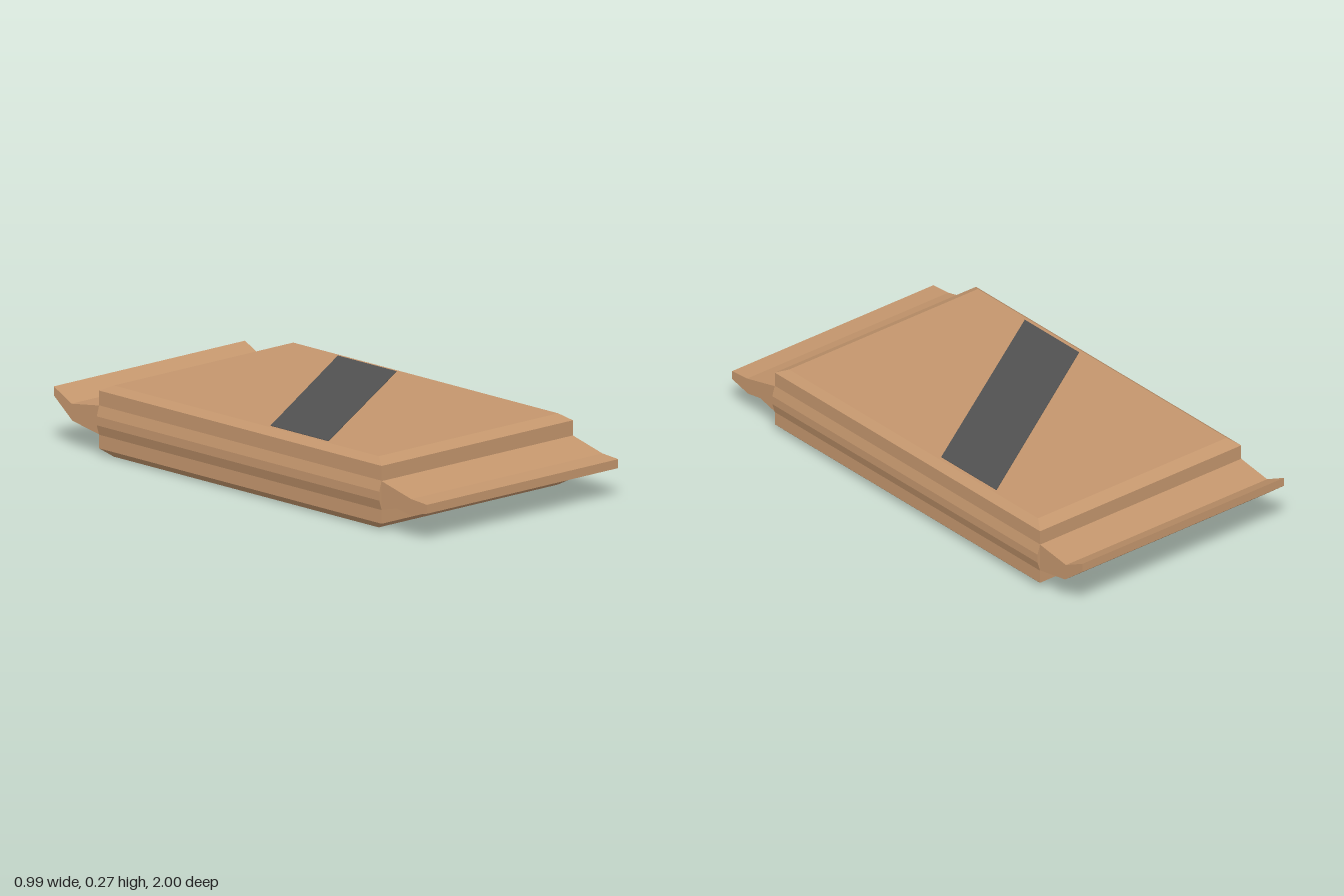
import * as THREE from 'three';

const wrapper = new THREE.MeshStandardMaterial({ color: 0xc4966d });
wrapper.name = 'tan wrapper';
const dark = new THREE.MeshStandardMaterial({ color: 0x525252 });
dark.name = 'charcoal stripe';

// Flat-shaded loft through rectangular levels [y, half width, half depth]
function loftRectangles(levels) {
  const positions = [];
  const corner = ([y, hx, hz], i) => {
    const [sx, sz] = [[-1, 1], [1, 1], [1, -1], [-1, -1]][i % 4];
    return [sx * hx, y, sz * hz];
  };
  const quad = (a, b, c, d) => positions.push(...a, ...b, ...c, ...a, ...c, ...d);
  for (let l = 0; l < levels.length - 1; l++) {
    for (let i = 0; i < 4; i++) {
      quad(corner(levels[l], i), corner(levels[l], i + 1),
        corner(levels[l + 1], i + 1), corner(levels[l + 1], i));
    }
  }
  const bottom = levels[0], top = levels[levels.length - 1];
  quad(...[3, 2, 1, 0].map((i) => corner(bottom, i)));
  quad(...[0, 1, 2, 3].map((i) => corner(top, i)));
  const geometry = new THREE.BufferGeometry();
  geometry.setAttribute('position', new THREE.Float32BufferAttribute(positions, 3));
  geometry.computeVertexNormals();
  return geometry;
}

// Crimped end: a [z, y] profile swept across the width
function crimpedEnd(profile, width) {
  const shape = new THREE.Shape(profile.map(([z, y]) => new THREE.Vector2(-z, y)));
  const geometry = new THREE.ExtrudeGeometry(shape, { depth: width, bevelEnabled: false });
  geometry.translate(0, 0, -width / 2);
  geometry.rotateY(Math.PI / 2);
  return geometry;
}

export function createModel() {
  const group = new THREE.Group();
  group.name = 'wrappedPack';
  const add = (name, geometry, material) => {
    const mesh = new THREE.Mesh(geometry, material);
    mesh.name = name;
    group.add(mesh);
    return mesh;
  };

  // Body with chamfered faces and a shallow bulge along the long sides
  add('body', loftRectangles([
    [0, 0.455, 0.71], [0.028, 0.485, 0.757], [0.08, 0.485, 0.757],
    [0.118, 0.497, 0.757], [0.152, 0.497, 0.757], [0.192, 0.485, 0.757],
    [0.248, 0.485, 0.757], [0.271, 0.455, 0.71],
  ]), wrapper);

  // Bent end flaps
  add('frontFlap', crimpedEnd([
    [0.75, 0.192], [0.915, 0.152], [1, 0.146], [1, 0.112],
    [0.91, 0.09], [0.84, 0.102], [0.75, 0.08],
  ], 0.97), wrapper);
  add('backFlap', crimpedEnd([
    [-0.75, 0.192], [-0.905, 0.17], [-1, 0.218], [-1, 0.184],
    [-0.9, 0.106], [-0.75, 0.08],
  ], 0.97), wrapper);

  // Diagonal stripe on the top face
  const stripe = new THREE.Shape([
    [-0.44, -0.425], [0.44, 0.14], [0.44, 0.455], [-0.44, -0.115],
  ].map(([x, y]) => new THREE.Vector2(x, y)));
  const plate = new THREE.ExtrudeGeometry(stripe, { depth: 0.003, bevelEnabled: false });
  plate.rotateX(-Math.PI / 2);
  add('diagonalStripe', plate, dark).position.y = 0.27;

  return group;
}
